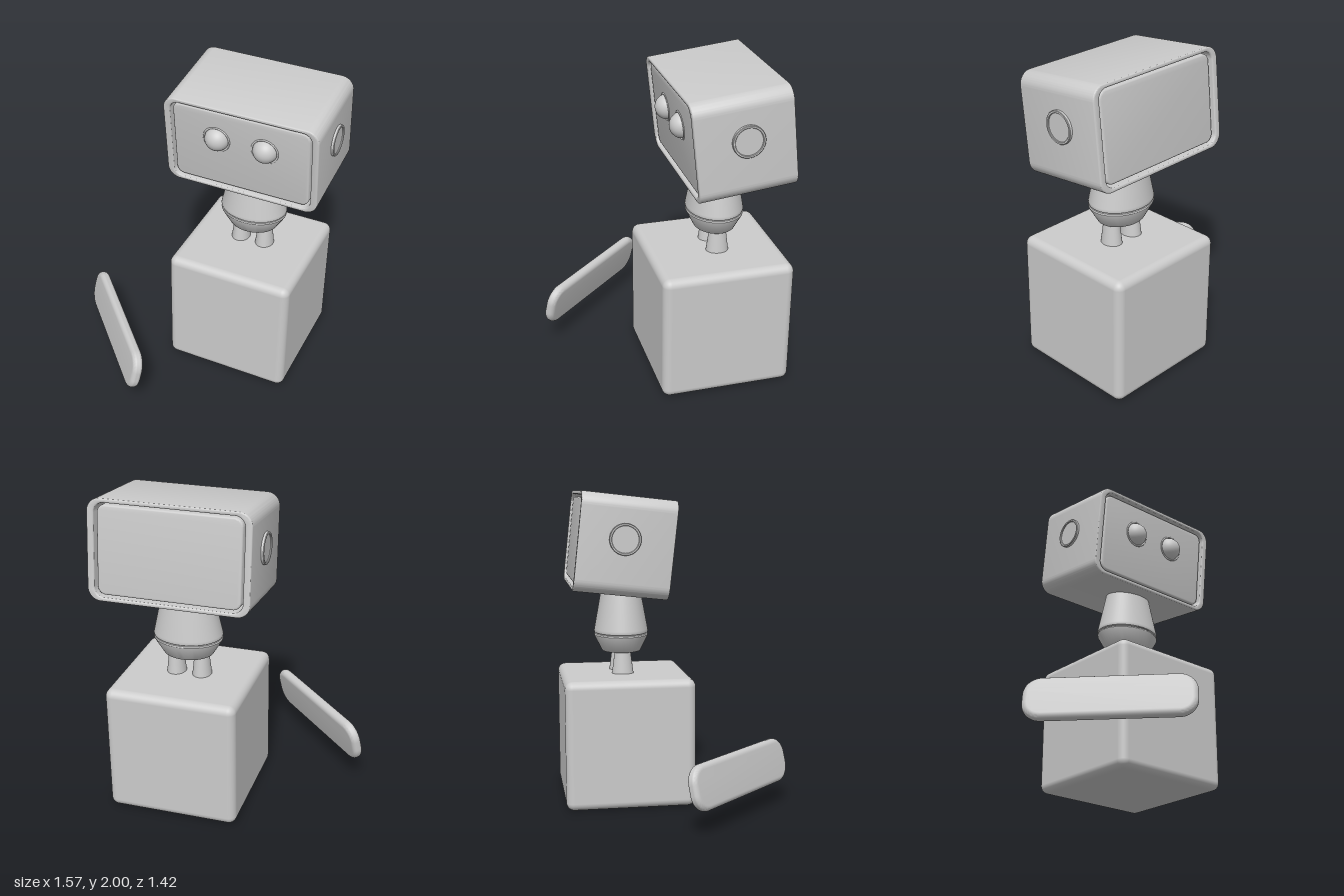
import * as THREE from 'three';
import { toCreasedNormals } from 'three/addons/utils/BufferGeometryUtils.js';
import { RoundedBoxGeometry } from 'three/addons/geometries/RoundedBoxGeometry.js';

const material = new THREE.MeshStandardMaterial({ color: 0xcccccc });

function add(parent, name, geometry, x = 0, y = 0, z = 0) {
  const mesh = new THREE.Mesh(geometry, material);
  mesh.name = name;
  mesh.position.set(x, y, z);
  parent.add(mesh);
  return mesh;
}

// Rounded rectangle centred on the origin
function roundedRect(w, h, r, Type = THREE.Shape) {
  const s = new Type();
  const x = w / 2 - r, y = h / 2 - r;
  s.absarc(x, y, r, 0, Math.PI / 2);
  s.absarc(-x, y, r, Math.PI / 2, Math.PI);
  s.absarc(-x, -y, r, Math.PI, Math.PI * 1.5);
  s.absarc(x, -y, r, Math.PI * 1.5, Math.PI * 2);
  s.closePath();
  return s;
}

// Bevelled slab centred on z = 0; the bevel stays inside the outline
function slab(shape, depth, bevel, bevelSegments = 3) {
  const g = new THREE.ExtrudeGeometry(shape, {
    depth: depth - 2 * bevel, bevelEnabled: true, bevelSize: bevel, bevelThickness: bevel,
    bevelOffset: -bevel, bevelSegments, curveSegments: 10,
  });
  g.translate(0, 0, bevel - depth / 2);
  return toCreasedNormals(g, 0.6);
}

// Turned part from [radius, height] pairs
function turned(points, segments = 48) {
  const g = new THREE.LatheGeometry(points.map(([r, y]) => new THREE.Vector2(r, y)), segments);
  return toCreasedNormals(g, 0.5);
}

function buildHead() {
  const head = new THREE.Group();
  head.name = 'head';
  head.position.set(0.275, 1.665, -0.3375);
  head.rotation.x = 0.11;

  // Open shell around a separate inner casing
  const outline = roundedRect(0.986, 0.61, 0.08);
  outline.holes.push(roundedRect(0.9, 0.56, 0.06, THREE.Path));
  add(head, 'headShell', slab(outline, 0.59, 0.008));
  add(head, 'innerCasing', slab(roundedRect(0.872, 0.535, 0.05), 0.564, 0.012));

  // Eyes with thin socket rings
  for (const side of [-1, 1]) {
    const x = side * 0.155;
    add(head, 'eye', new THREE.SphereGeometry(0.077, 40, 24), x, 0.07, 0.269);
    add(head, 'eyeSocket', new THREE.TorusGeometry(0.082, 0.006, 10, 48), x, 0.07, 0.281);
  }

  // Ear discs with a raised rim, bridging the gap to the casing
  const earProfile = [
    [0.097, 0], [0.097, 0.082], [0.094, 0.085], [0.085, 0.085], [0.082, 0.082], [0.082, 0.077], [0, 0.077],
  ];
  for (const side of [-1, 1]) {
    const ear = add(head, 'ear', turned(earProfile), side * 0.425, 0.042, -0.012);
    ear.rotation.z = -side * Math.PI / 2;
  }
  return head;
}

function buildBody() {
  const body = new THREE.Group();
  body.name = 'body';
  body.position.set(0.272, 0, -0.32);

  // Oval tapered torso above an oval hip bowl
  const torso = add(body, 'torso', turned([
    [0, 1.083], [0.208, 1.083], [0.215, 1.087], [0.217, 1.096], [0.215, 1.108], [0.158, 1.36], [0.147, 1.42], [0, 1.42],
  ]));
  const hips = add(body, 'hips', turned([
    [0, 0.965], [0.152, 0.965], [0.157, 0.969], [0.214, 1.062], [0.216, 1.07], [0.212, 1.078], [0.2, 1.083], [0, 1.083],
  ]));
  torso.scale.z = hips.scale.z = 0.81;

  // Short tapered legs
  for (const side of [-1, 1]) {
    const leg = add(body, 'leg', new THREE.CylinderGeometry(0.042, 0.06, 0.16, 32), side * 0.083, 0.905, 0);
    leg.scale.z = 1.17;
  }
  return body;
}

export function createModel() {
  const model = new THREE.Group();
  model.name = 'robotOnBlock';

  // Block the robot stands on
  add(model, 'block', new RoundedBoxGeometry(0.825, 0.825, 0.825, 5, 0.05), 0.275, 0.4125, -0.302);
  model.add(buildBody(), buildHead());

  // Leaning plate with fully rounded edges
  const plate = add(model, 'plate', slab(roundedRect(1.0, 0.28, 0.11), 0.066, 0.032, 6), -0.42, 0.287, 0.326);
  plate.rotation.set(-0.23, -0.807, 0, 'YXZ');

  return model;
}
